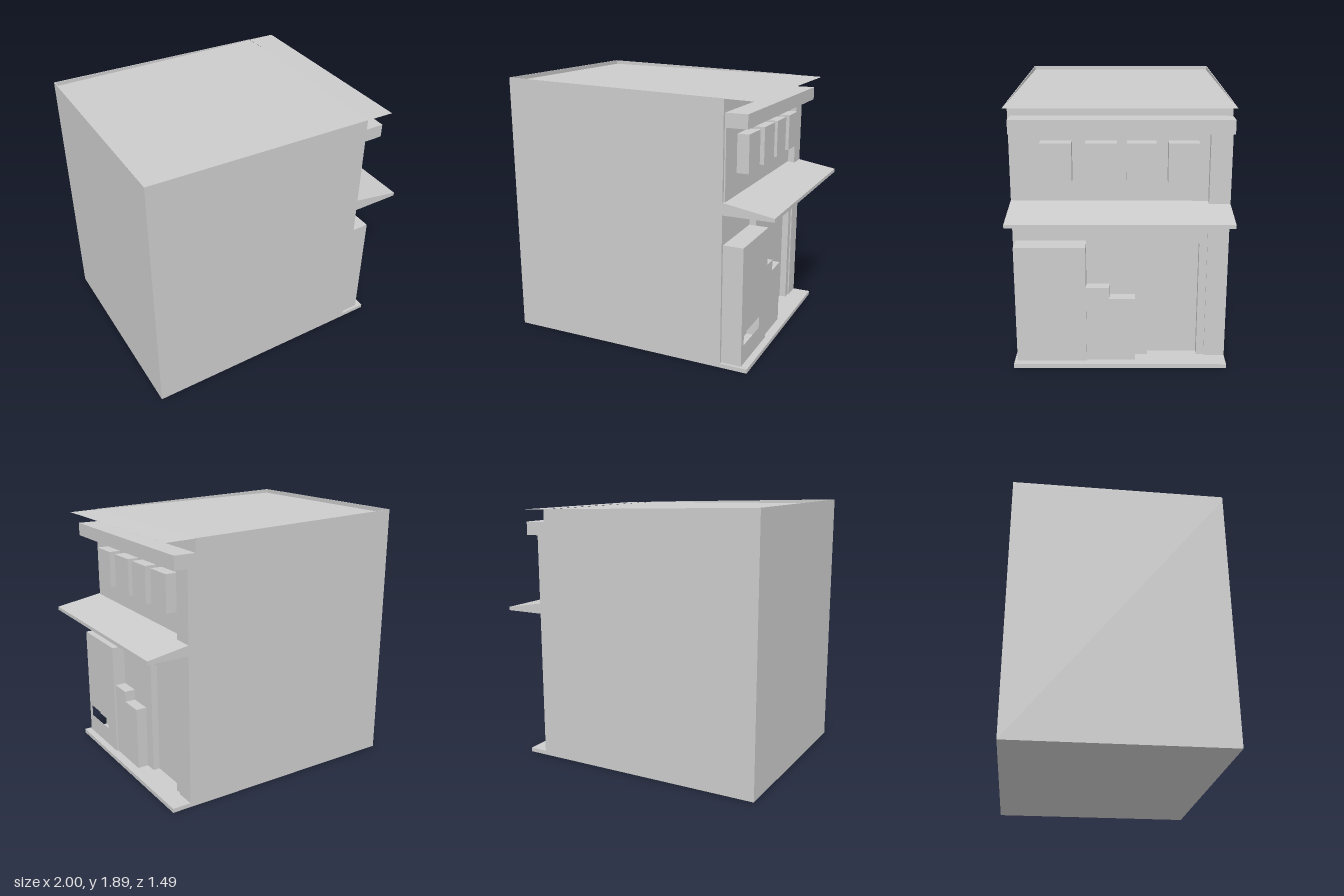
import * as THREE from 'three';

export function createModel() {
  const group = new THREE.Group();
  group.name = 'shopBuilding';
  const mat = new THREE.MeshStandardMaterial({ color: 0xcccccc });
  const sheetMat = new THREE.MeshStandardMaterial({ color: 0xcccccc, side: THREE.DoubleSide });

  function add(name, geometry, material = mat) {
    const mesh = new THREE.Mesh(geometry, material);
    mesh.name = name;
    group.add(mesh);
    return mesh;
  }
  // Box given by its extents on each axis
  function box(name, x0, x1, y0, y1, z0, z1) {
    const g = new THREE.BoxGeometry(x1 - x0, y1 - y0, z1 - z0);
    return add(name, g.translate((x0 + x1) / 2, (y0 + y1) / 2, (z0 + z1) / 2));
  }
  const shapeOf = (pts) => new THREE.Shape(pts.map(([a, b]) => new THREE.Vector2(a, b)));
  // Side profile in (x, y), swept along z
  function profile(name, pts, z0, z1) {
    const g = new THREE.ExtrudeGeometry(shapeOf(pts), { depth: z1 - z0, bevelEnabled: false });
    return add(name, g.translate(0, 0, z0));
  }
  // Facade outline in (z, y), swept along x, with optional holes
  function facade(name, pts, x0, x1, holes = []) {
    const flip = (list) => list.map(([z, y]) => [-z, y]);
    const shape = shapeOf(flip(pts));
    shape.holes = holes.map((h) => shapeOf(flip(h)));
    const g = new THREE.ExtrudeGeometry(shape, { depth: x1 - x0, bevelEnabled: false });
    return add(name, g.rotateY(Math.PI / 2).translate(x0, 0, 0));
  }
  const rect = (z0, z1, y0, y1) => [[z0, y0], [z1, y0], [z1, y1], [z0, y1]];

  const Z = 0.745, WALL = 0.645;

  // Main body with a slightly sloping roof and low rims around it
  profile('body', [[-1, 0], [WALL, 0], [WALL, 1.843], [-1, 1.865]], -Z, Z);
  for (const s of [-1, 1]) {
    profile('roofRim', [[-1, 1.86], [WALL, 1.84], [WALL, 1.846], [-1, 1.895]],
      s > 0 ? Z - 0.006 : -Z, s > 0 ? Z : -Z + 0.006);
  }
  box('backRim', -1, -0.994, 1.86, 1.895, -Z, Z);

  // Thin roof overhang above the facade
  const eave = new THREE.PlaneGeometry(0.21, 2 * Z).rotateX(-Math.PI / 2);
  eave.rotateZ(-0.03).translate(0.75, 1.841, 0);
  add('eave', eave, sheetMat);

  // Step, awning and cornice
  box('step', WALL, 0.84, 0, 0.03, -Z, Z);
  profile('awning', [[WALL, 1.09], [1, 1.09], [1, 1.115], [WALL, 1.175]], -Z, Z);
  box('cornice', WALL, 0.8, 1.66, 1.755, -Z, 0.725);

  // Corner pillar, one piece per storey
  for (const [y0, y1] of [[0.03, 1.09], [1.16, 1.66]]) {
    box('cornerPillar', WALL, 0.705, y0, y1, -Z, -0.6);
  }

  // Upper wall panel with its row of projecting window boxes
  box('upperPanel', WALL, 0.655, 1.16, 1.66, -0.6, 0.725);
  for (const [z0, z1] of [[0.32, 0.53], [0.02, 0.23], [-0.24, -0.045], [-0.525, -0.32]]) {
    box('windowBox', 0.65, 0.74, 1.325, 1.59, z0, z1);
  }

  // Ground-floor wall with a recessed doorway
  facade('doorWall', [[0.235, 0.03], [0.235, 1.09], [-0.6, 1.09], [-0.6, 0.03],
    [-0.545, 0.03], [-0.545, 0.88], [-0.195, 0.88], [-0.195, 0.03]], WALL, 0.695);

  // Vending cabinet with a collection slot
  facade('cabinet', rect(0.235, 0.725, 0.03, 0.88), WALL, 0.79, [rect(0.38, 0.68, 0.17, 0.255)]);
  box('slotBack', WALL, 0.72, 0.165, 0.26, 0.375, 0.685);

  // Stepped counter beside the cabinet
  facade('counter', [[0.235, 0.03], [0.235, 0.58], [0.075, 0.58], [0.075, 0.5],
    [-0.105, 0.5], [-0.105, 0.03]], WALL, 0.775);

  return group;
}
